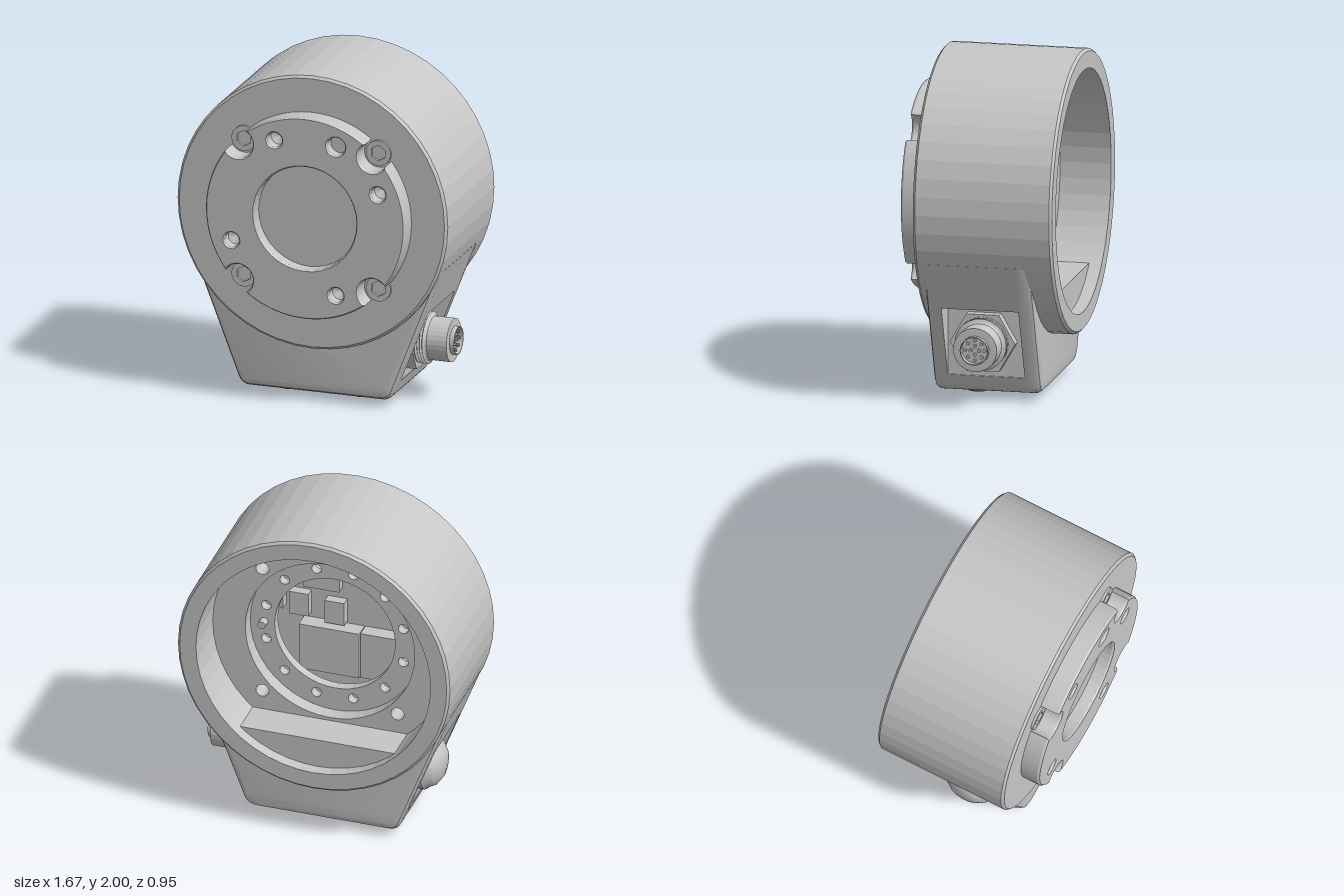
import * as THREE from 'three';
import { toCreasedNormals } from 'three/addons/utils/BufferGeometryUtils.js';

const CY = 1.165; // height of the drum axis
const grey = new THREE.MeshStandardMaterial({ color: 0xc6c6c6 });
grey.name = 'metalGrey';

export function createModel() {
  const model = new THREE.Group();
  model.name = 'encoderHousing';

  const add = (name, geo, x = 0, y = 0, z = 0, crease = 0.1) => {
    const mesh = new THREE.Mesh(toCreasedNormals(geo, crease), grey);
    mesh.name = name;
    mesh.position.set(x, y, z);
    model.add(mesh);
  };
  const lathe = (pts, seg) => new THREE.LatheGeometry(pts.map(p => new THREE.Vector2(...p)), seg);
  const circle = (r, x = 0, y = 0) => new THREE.Path().absarc(x, y, r, 0, Math.PI * 2, true);
  const disc = r => new THREE.Shape().absarc(0, 0, r, 0, Math.PI * 2, false);
  const extrude = (shape, depth, seg = 24) =>
    new THREE.ExtrudeGeometry(shape, { depth, bevelEnabled: false, curveSegments: seg });

  // Drum shell, open at the back; its wall is cut flat where the side pockets meet it
  const drum = lathe([[0, 0.25], [0.72, 0.25], [0.72, -0.475], [0.82, -0.475], [0.835, -0.46],
    [0.835, -0.241], [0.835, -0.239], [0.835, 0.219], [0.835, 0.221],
    [0.835, 0.34], [0.82, 0.355], [0, 0.355]], 48).rotateX(Math.PI / 2);
  const dp = drum.attributes.position;
  for (let i = 0; i < dp.count; i++) {
    const x = dp.getX(i), z = dp.getZ(i);
    if (z > -0.24 && z < 0.22 && dp.getY(i) < 0.58 - CY && Math.abs(x) > 0.485) {
      dp.setX(i, Math.sign(x) * 0.485);
    }
  }
  add('drum', drum, 0, CY);

  // Lower housing: cross-sections along z, with a pocket cut in each sloping side
  const tilt = -0.37, nx = Math.cos(tilt), ny = Math.sin(tilt);
  const section = (inset, pocket) => {
    const d = 0.835 - inset, r = 0.07, yb = 0.045 + inset + r;
    const sideX = y => (d - ny * (y - CY)) / nx;
    const cx = (d - r - ny * (yb - CY)) / nx;
    const half = [];
    for (let k = 0; k <= 5; k++) {
      const a = -Math.PI / 2 + (tilt + Math.PI / 2) * k / 5;
      half.push([cx + r * Math.cos(a), yb + r * Math.sin(a)]);
    }
    half.push([sideX(0.15), 0.15]);
    half.push(pocket ? [0.495, 0.15] : [sideX(0.15), 0.15]);
    half.push(pocket ? [0.495, 0.58] : [sideX(0.58), 0.58]);
    half.push([sideX(0.58), 0.58], [nx * d, CY + ny * d]);
    const arc = [];
    for (let k = 0; k <= 20; k++) {
      const a = tilt + (-Math.PI - 2 * tilt) * k / 20;
      arc.push([0.75 * Math.cos(a), CY + 0.75 * Math.sin(a)]);
    }
    const mirrored = half.map(([x, y]) => [-x, y]).reverse();
    return [...half, ...arc, ...mirrored];
  };
  const layers = [[-0.335, 0.04], [-0.325, 0.015], [-0.3, 0], [-0.24, 0], [-0.24, 0, true],
    [0.22, 0, true], [0.22, 0], [0.275, 0], [0.3, 0.015], [0.31, 0.04]];
  const pos = [], index = [];
  let n = 0;
  for (const [z, inset, pocket] of layers) {
    const pts = section(inset, pocket);
    n = pts.length;
    for (const [x, y] of pts) pos.push(x, y, z);
  }
  for (let i = 0; i < layers.length - 1; i++) {
    for (let j = 0; j < n; j++) {
      const a = i * n + j, b = i * n + (j + 1) % n;
      index.push(a, b, b + n, a, b + n, a + n);
    }
  }
  const contour = section(0.04).map(p => new THREE.Vector2(...p));
  const top = (layers.length - 1) * n;
  for (const [a, b, c] of THREE.ShapeUtils.triangulateShape(contour, [])) {
    index.push(top + a, top + b, top + c, a, c, b);
  }
  const housing = new THREE.BufferGeometry();
  housing.setAttribute('position', new THREE.Float32BufferAttribute(pos, 3));
  housing.setIndex(index);
  add('lowerHousing', housing, 0, 0, 0, 0.6);

  // Front flange with four screw notches, a central bore and blind holes
  const flange = new THREE.Shape();
  const R = 0.615, D = 0.587, N = 0.09;
  const delta = Math.acos((R * R + D * D - N * N) / (2 * R * D));
  const phi = Math.atan2(R * Math.sin(delta), R * Math.cos(delta) - D);
  const corners = [0, 1, 2, 3].map(k => Math.PI / 4 + k * Math.PI / 2);
  for (const t of corners) {
    flange.absarc(D * Math.cos(t), D * Math.sin(t), N, t - phi, t + phi, true);
    flange.absarc(0, 0, R, t + delta, t + Math.PI / 2 - delta, false);
  }
  const blind = [[-0.19, 0.46], [0.45, 0.195], [-0.455, -0.18], [0.19, -0.45]];
  flange.holes.push(circle(0.315), circle(0.055, 0.19, 0.46));
  for (const [x, y] of blind) flange.holes.push(circle(0.045, x, y));
  add('frontFlange', new THREE.ExtrudeGeometry(flange, { depth: 0.121, curveSegments: 18,
    bevelSize: 0.008, bevelOffset: -0.008, bevelThickness: 0.012, bevelSegments: 1 }), 0, CY, 0.342);
  for (const [x, y] of blind) {
    add('drilledHoleBottom', lathe([[0.05, 0.405], [0, 0.375]], 16).rotateX(Math.PI / 2), x, CY + y);
  }
  add('dowelHoleBottom', extrude(disc(0.056), 0.06), 0.19, CY + 0.46, 0.345);
  add('boreCover', extrude(disc(0.33), 0.05), 0, CY, 0.345);

  // Socket screws sunk into the notches
  const head = disc(0.077);
  head.holes.push(new THREE.Path([0, 1, 2, 3, 4, 5, 6].map(k =>
    new THREE.Vector2(0.048 * Math.cos(-k * Math.PI / 3 + 0.5), 0.048 * Math.sin(-k * Math.PI / 3 + 0.5)))));
  for (const t of corners) {
    add('flangeScrew', extrude(head, 0.035, 12), D * Math.cos(t), CY + D * Math.sin(t), 0.335);
  }

  // Inner floor and recessed ring with bolt holes
  const floor = disc(0.724);
  floor.holes.push(circle(0.52));
  for (const t of corners) floor.holes.push(circle(0.04, D * Math.cos(t), D * Math.sin(t)));
  add('cavityFloor', extrude(floor, 0.15), 0, CY, -0.17);
  const ring = disc(0.525);
  ring.holes.push(circle(0.37));
  for (let k = 0; k < 12; k++) {
    const a = Math.PI / 12 + k * Math.PI / 6;
    ring.holes.push(circle(0.03, 0.435 * Math.cos(a), 0.435 * Math.sin(a)));
  }
  add('boltRing', extrude(ring, 0.06), 0, CY, -0.08);
  add('locatingPin', new THREE.CylinderGeometry(0.025, 0.025, 0.08, 12).rotateX(Math.PI / 2), 0.435, CY, -0.09);

  // Flat ledge across the bottom of the cavity
  const a0 = Math.asin(0.54 / 0.724);
  const ledge = new THREE.Shape().absarc(0, 0, 0.724, -Math.PI + a0, -a0, false);
  add('cavityLedge', extrude(ledge, 0.23), 0, CY, -0.4);

  // Circuit board and its components: x, y, width, height, depth
  const board = 0.15;
  add('circuitBoard', extrude(disc(0.6), 0.04), 0, CY, board);
  for (const [x, y, w, h, d] of [[0.08, -0.21, 0.37, 0.3, 0.1], [-0.24, -0.21, 0.26, 0.3, 0.09],
    [0.28, 0.05, 0.12, 0.15, 0.06], [0.06, 0.03, 0.12, 0.15, 0.06], [0.14, 0.24, 0.22, 0.13, 0.06],
    [0.4, 0.05, 0.05, 0.1, 0.06]]) {
    add('boardComponent', new THREE.BoxGeometry(w, h, d), x, CY + y, board - d / 2);
  }

  // Cable connector on the left side
  const PY = 0.36;
  const hex = [0, 1, 2, 3, 4, 5].map(k =>
    new THREE.Vector2(0.195 * Math.cos(k * Math.PI / 3), 0.195 * Math.sin(k * Math.PI / 3)));
  add('connectorNut', extrude(new THREE.Shape(hex), 0.065).rotateY(Math.PI / 2), 0.49, PY, 0);
  const plug = [[0.155, 0.5]];
  for (let k = 0; k < 4; k++) plug.push([0.155, 0.56 + k * 0.016], [0.138, 0.568 + k * 0.016]);
  plug.push([0.13, 0.625], [0.13, 0.75], [0.105, 0.752], [0.085, 0.752], [0.085, 0.78],
    [0.079, 0.78], [0.079, 0.745], [0, 0.745]);
  add('connectorBody', lathe(plug, 28).rotateZ(-Math.PI / 2), 0, PY, 0);
  for (let k = 0; k < 12; k++) {
    const r = k < 4 ? 0.025 : 0.058;
    const a = k < 4 ? k * Math.PI / 2 : k * Math.PI / 4;
    add('connectorPin', new THREE.CylinderGeometry(0.01, 0.01, 0.025, 8).rotateZ(-Math.PI / 2),
      0.755, PY + r * Math.sin(a), r * Math.cos(a));
  }

  // Domed blanking plug on the right side
  add('blankingPlug', lathe([[0.17, 0.48], [0.17, 0.555], [0.155, 0.57], [0.135, 0.61],
    [0.085, 0.645], [0, 0.658]], 24).rotateZ(Math.PI / 2), 0, PY, 0, 0.5);

  // Three button screws under the base
  for (const [x, z] of [[-0.225, 0.1], [0, -0.13], [0.225, 0.1]]) {
    add('baseScrew', lathe([[0, 0.012], [0.026, 0.012], [0.026, 0], [0.06, 0.003], [0.08, 0.014],
      [0.086, 0.03], [0.086, 0.06]], 20), x, 0, z, 0.5);
  }
  return model;
}
